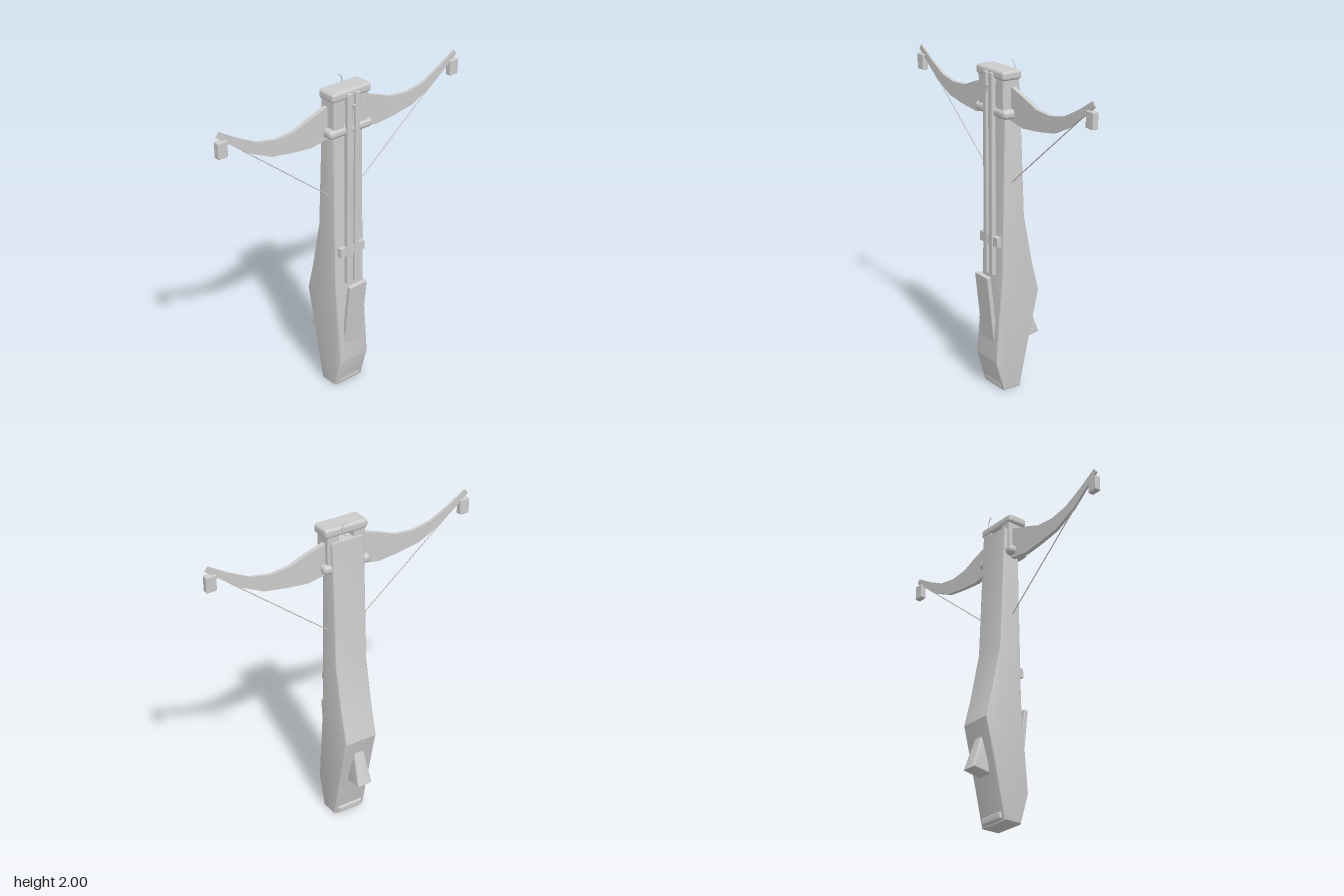
import * as THREE from 'three';
import { toCreasedNormals } from 'three/addons/utils/BufferGeometryUtils.js';
import { RoundedBoxGeometry } from 'three/addons/geometries/RoundedBoxGeometry.js';

const material = new THREE.MeshStandardMaterial({ color: 0xcccccc });

export function createModel() {
  const model = new THREE.Group();
  model.name = 'crossbow';

  const add = (name, geometry) => {
    const mesh = new THREE.Mesh(geometry, material);
    mesh.name = name;
    model.add(mesh);
    return mesh;
  };

  // Box given by its min and max on each axis; rounded when r > 0
  const box = (name, [x0, x1], [y0, y1], [z0, z1], r = 0) => {
    const size = [x1 - x0, y1 - y0, z1 - z0];
    const geo = r ? new RoundedBoxGeometry(...size, 3, r) : new THREE.BoxGeometry(...size);
    const mesh = add(name, geo);
    mesh.position.set((x0 + x1) / 2, (y0 + y1) / 2, (z0 + z1) / 2);
    return mesh;
  };

  // Side profile of [z, y] points, extruded across x with bevelled edges
  const sideExtrude = (points, width, bevel) => {
    const shape = new THREE.Shape(points.map(p => new THREE.Vector2(...p)));
    const geo = new THREE.ExtrudeGeometry(shape, {
      depth: width - 2 * bevel, bevelThickness: bevel, bevelSize: bevel,
      bevelOffset: -bevel, bevelSegments: 3,
    });
    geo.translate(0, 0, -(width - 2 * bevel) / 2);
    geo.rotateY(-Math.PI / 2);
    return geo;
  };

  const rod = (name, a, b, radius) => add(name, new THREE.TubeGeometry(
    new THREE.LineCurve3(new THREE.Vector3(...a), new THREE.Vector3(...b)), 1, radius, 6));

  // Stock
  const stock = sideExtrude([
    [-0.015, 0.005], [0.1, 0.005], [0.155, 0.2], [0.11, 0.74], [0.09, 1.88],
    [-0.012, 1.88], [-0.045, 1.08], [-0.105, 0.78], [-0.15, 0.6], [-0.105, 0.41],
  ], 0.216, 0.012);
  add('stock', toCreasedNormals(stock, 0.4));
  box('buttPad', [-0.085, 0.085], [0.015, 0.06], [-0.037, 0.113], 0.012);

  // Grip on the back, narrowing towards its top
  const grip = sideExtrude([[-0.08, 0.28], [-0.195, 0.3], [-0.125, 0.505], [-0.08, 0.505]], 0.104, 0.012);
  const gp = grip.attributes.position;
  for (let i = 0; i < gp.count; i++) {
    gp.setX(i, gp.getX(i) * (1 - 0.35 * (gp.getY(i) - 0.28) / 0.225));
  }
  grip.computeVertexNormals();
  add('grip', toCreasedNormals(grip, 0.5));
  box('gripPin', [-0.004, 0.004], [0.59, 0.61], [-0.154, -0.13]);

  // Limb clamp at the head
  box('headCap', [-0.142, 0.142], [1.91, 1.966], [0, 0.128], 0.018);
  box('clampBand', [-0.157, 0.157], [1.69, 1.746], [-0.01, 0.13], 0.024);
  for (const [x0, x1] of [[-0.126, -0.048], [0.048, 0.126]]) {
    box('clampPlate', [x0, x1], [1.7, 1.93], [0.006, 0.118], 0.008);
  }

  // Twin rails, their bracket, the lever plate and the foresight
  for (const x of [-0.029, 0.029]) {
    box('rail', [x - 0.017, x + 0.017], [0.73, 1.945], [0.113, 0.142], 0.004);
  }
  box('railBed', [-0.014, 0.014], [0.74, 1.94], [0.113, 0.127]);
  box('railBracket', [-0.09, 0.09], [0.918, 0.975], [0.1, 0.137]);
  const lever = box('leverPlate', [-0.066, 0.066], [0.291, 0.735], [0.139, 0.167], 0.006);
  lever.rotation.x = 0.112;
  const sight = add('foresight', new THREE.ConeGeometry(0.012, 0.05, 8));
  sight.position.set(0, 1.85, 0.144);
  sight.rotation.x = Math.PI;

  // Limbs, thinning towards the tips, with tip blocks and string
  const outline = [
    [0.1, 1.875], [0.13, 1.87], [0.24, 1.835], [0.36, 1.79], [0.48, 1.78], [0.605, 1.803],
    [0.73, 1.865], [0.855, 1.94], [0.874, 1.912], [0.82, 1.87], [0.67, 1.76],
    [0.52, 1.69], [0.38, 1.668], [0.24, 1.655], [0.1, 1.68],
  ];
  for (const side of [-1, 1]) {
    const shape = new THREE.Shape(outline.map(([x, y]) => new THREE.Vector2(side * x, y)));
    const limb = new THREE.ExtrudeGeometry(shape, { depth: 1, bevelEnabled: false });
    const p = limb.attributes.position;
    for (let i = 0; i < p.count; i++) {
      const thickness = 0.034 - 0.026 * Math.abs(p.getX(i));
      p.setZ(i, 0.048 + (p.getZ(i) - 0.5) * thickness);
    }
    limb.computeVertexNormals();
    add('limb', toCreasedNormals(limb, 0.5));
    const [a, b] = [side * 0.814, side * 0.879].sort((m, n) => m - n);
    box('tipBlock', [a, b], [1.79, 1.886], [0.03, 0.068], 0.006);
    rod('string', [side * 0.1, 1.3, 0.046], [side * 0.83, 1.885, 0.046], 0.0035);
  }
  rod('stringCentre', [-0.1, 1.3, 0.046], [0.1, 1.3, 0.046], 0.0035);

  // Thin wire hook at the top
  const hook = new THREE.CatmullRomCurve3([
    [0.016, 1.998], [0.033, 1.99], [0.045, 1.967], [0.043, 1.938], [0.028, 1.915],
  ].map(([x, y]) => new THREE.Vector3(x, y, -0.017)));
  add('wireHook', new THREE.TubeGeometry(hook, 16, 0.003, 6));

  return model;
}
